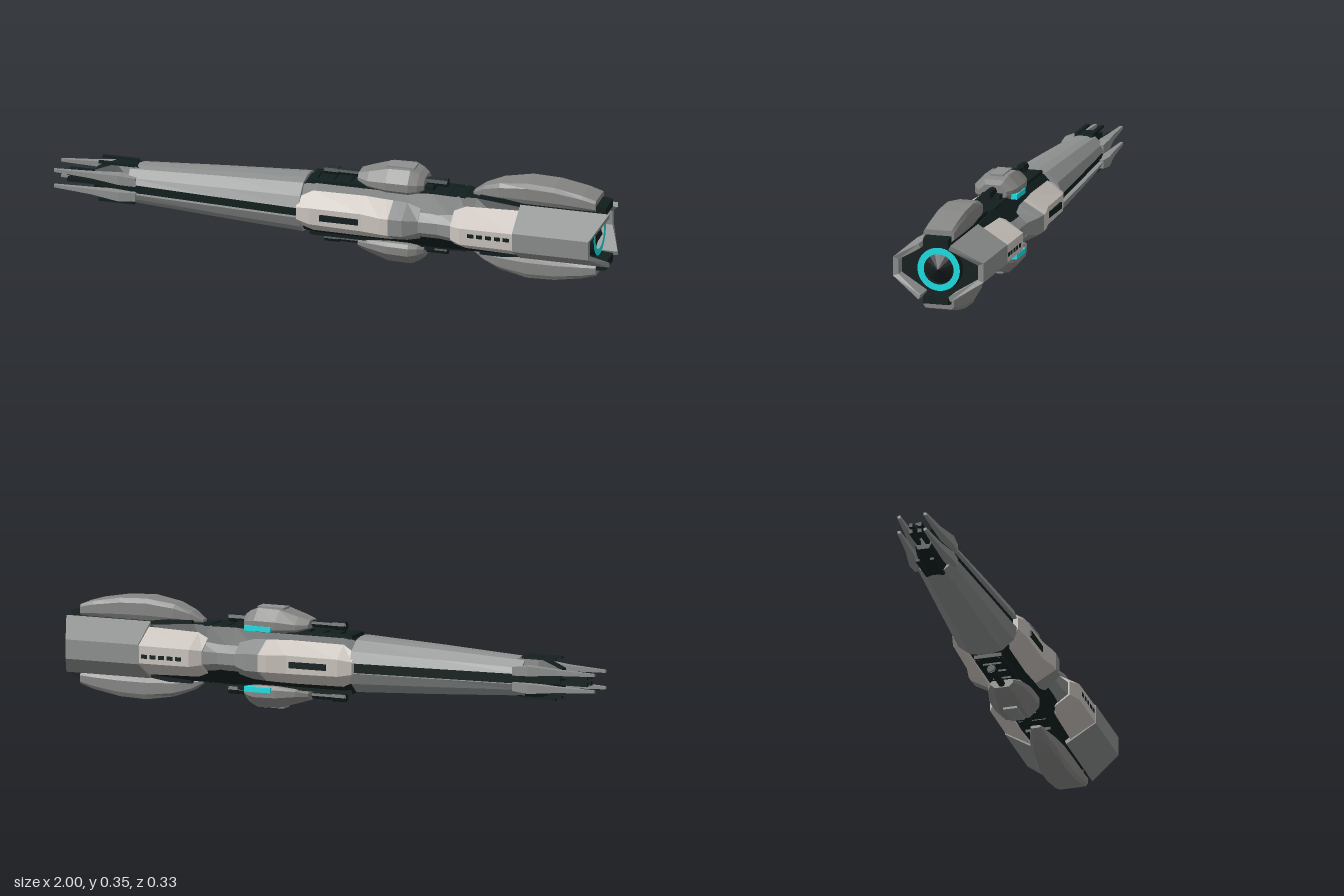
import * as THREE from 'three';

const mat = (name, color) => {
  const m = new THREE.MeshStandardMaterial({ color, flatShading: true });
  m.name = name;
  return m;
};

// Skins a closed outline [z, y, xOffset] through stations { x, pts } along x, with end caps.
function loft(stations) {
  const pos = [];
  const rings = stations.map(({ x, pts }) => {
    const r = pts.map(([z, y, dx = 0]) => new THREE.Vector3(x + dx, y, z));
    const area = THREE.ShapeUtils.area(r.map(p => new THREE.Vector2(p.y, p.z)));
    return area < 0 ? r.reverse() : r;
  });
  const tri = (...ps) => ps.forEach(p => pos.push(p.x, p.y, p.z));
  for (let i = 0; i < rings.length - 1; i++) {
    const A = rings[i], B = rings[i + 1], n = A.length;
    for (let j = 0; j < n; j++) {
      const k = (j + 1) % n;
      tri(A[j], A[k], B[k]);
      tri(A[j], B[k], B[j]);
    }
  }
  const cap = (r, flip) => {
    const flat = r.map(p => new THREE.Vector2(p.y, p.z));
    for (const [a, b, c] of THREE.ShapeUtils.triangulateShape(flat, [])) {
      if (flip) tri(r[a], r[c], r[b]); else tri(r[a], r[b], r[c]);
    }
  };
  cap(rings[0], true);
  cap(rings[rings.length - 1], false);
  const g = new THREE.BufferGeometry();
  g.setAttribute('position', new THREE.Float32BufferAttribute(pos, 3));
  g.computeVertexNormals();
  return g;
}

// Outline: eight-sided hull, half width w, half height h, flat roof half width f
const hullRing = (w, h, f, s) =>
  [[w, s], [f, h], [-f, h], [-w, s], [-w, -s], [-f, -h], [f, -h], [w, -s]];
// Outline: V-shaped side armour, outer flank at z = w, wrapping in to (e, h)
const sideRing = (w, s, e, h, t = 0.02, cut = 0) => [
  [e, h], [w, s, cut], [w, -s, cut], [e, -h],
  [e - 0.006, -h + t * 0.8], [w - t, -s + t * 0.4, cut], [w - t, s - t * 0.4, cut], [e - 0.006, h - t * 0.8]];
// Outline: bevelled block between y0 and y1
const blockRing = (w, y0, y1, f, shoulder) => {
  const ys = y0 + (y1 - y0) * shoulder, yl = y0 + (ys - y0) * 0.3;
  return [[w * 0.85, y0], [w, yl], [w, ys], [f, y1], [-f, y1], [-w, ys], [-w, yl], [-w * 0.85, y0]];
};
// Outline: arched bow roof
const roofRing = (w, h) => [
  [w, 0.018], [w * 0.86, h * 0.58], [w * 0.5, h * 0.93], [w * 0.2, h],
  [-w * 0.2, h], [-w * 0.5, h * 0.93], [-w * 0.86, h * 0.58], [-w, 0.018]];
const boxRing = (z0, z1, y0, y1) => [[z0, y0], [z1, y0], [z1, y1], [z0, y1]];

export function createModel() {
  const grey = mat('armour grey', 0x8d908f);
  const warm = mat('fairing grey', 0x868785);
  const light = mat('pale panel', 0xcbc4be);
  const dark = mat('dark hull', 0x121f1e);
  const teal = mat('engine glow', 0x18e6ea);
  const black = mat('nozzle interior', 0x161c1e);

  const model = new THREE.Group();
  const ship = new THREE.Group();
  ship.name = 'ship';
  ship.position.y = 0.178;
  model.add(ship);

  const add = (parent, name, geo, m, x = 0, y = 0, z = 0) => {
    const mesh = new THREE.Mesh(geo, m);
    mesh.name = name;
    mesh.position.set(x, y, z);
    parent.add(mesh);
  };
  const box = (p, name, m, w, h, d, x, y, z) => add(p, name, new THREE.BoxGeometry(w, h, d), m, x, y, z);
  const rod = (p, name, m, r, len, x, y, z) =>
    add(p, name, new THREE.CylinderGeometry(r, r, len, 8).rotateZ(Math.PI / 2), m, x, y, z);

  // Dark inner hull, kept clear of the armour plates
  add(ship, 'innerHull', loft([
    [-0.86, 0.03, 0.036, 0.02, 0.015], [-0.78, 0.048, 0.07, 0.025, 0.02],
    [-0.72, 0.062, 0.07, 0.03, 0.02], [-0.68, 0.062, 0.06, 0.03, 0.02], [-0.1, 0.1, 0.085, 0.05, 0.03],
    [-0.05, 0.104, 0.096, 0.046, 0.03], [0.24, 0.106, 0.096, 0.046, 0.03], [0.36, 0.104, 0.1, 0.05, 0.035],
    [0.46, 0.112, 0.1, 0.048, 0.028], [0.52, 0.122, 0.1, 0.044, 0.026],
    [0.68, 0.14, 0.088, 0.052, 0.026], [0.92, 0.143, 0.088, 0.052, 0.026],
  ].map(([x, w, h, f, s]) => ({ x, pts: hullRing(w, h, f, s) }))), dark);

  // Engine: nozzle, glowing ring and recessed cone
  add(ship, 'nozzle', new THREE.CylinderGeometry(0.077, 0.08, 0.05, 32, 1, true).rotateZ(-Math.PI / 2), dark, 0.925);
  add(ship, 'engineRing', new THREE.RingGeometry(0.054, 0.077, 40).rotateY(Math.PI / 2), teal, 0.95);
  add(ship, 'engineCore', new THREE.ConeGeometry(0.054, 0.03, 16).rotateZ(-Math.PI / 2), black, 0.945);

  // Everything below repeats under a half turn about the long axis
  for (const turn of [0, Math.PI]) {
    const half = new THREE.Group();
    half.name = turn ? 'lowerHalf' : 'upperHalf';
    half.rotation.x = turn;
    ship.add(half);

    // Bow armour roof
    add(half, 'bowArmour', loft([
      { x: -0.73, pts: roofRing(0.074, 0.066) },
      { x: -0.4, pts: roofRing(0.097, 0.084) },
      { x: -0.1, pts: roofRing(0.116, 0.098) },
    ]), grey);

    // Nose prongs and rails
    for (const s of [-1, 1]) {
      add(half, 'noseProng', loft([
        { x: -1, pts: boxRing(s * 0.042, s * 0.052, 0.024, 0.034) },
        { x: -0.86, pts: boxRing(s * 0.042, s * 0.064, 0.02, 0.04) },
        { x: -0.76, pts: boxRing(s * 0.045, s * 0.08, 0.014, 0.048) },
        { x: -0.7, pts: boxRing(s * 0.05, s * 0.077, 0.012, 0.042) },
      ]), grey);
      box(half, 'noseSpike', dark, 0.2, 0.014, 0.014, -0.86, 0.012, s * 0.016);
      box(half, 'noseRail', dark, 0.13, 0.008, 0.014, -0.78, 0.07, s * 0.026);
      box(half, 'spineRail', dark, 0.52, 0.012, 0.016, 0.19, 0.098, s * 0.042);
    }

    // Spine ribs and mounts
    for (let i = 0; i < 10; i++) {
      box(half, 'spineRib', dark, 0.022, 0.014, i % 3 ? 0.07 : 0.1, -0.07 + i * 0.06, 0.096, 0);
    }
    box(half, 'mountBase', dark, 0.24, 0.025, 0.07, 0.24, 0.108, 0);
    box(half, 'fairingBase', dark, 0.4, 0.03, 0.09, 0.73, 0.095, 0);

    // Rear fairing with dark tail
    add(half, 'rearFairing', loft([
      [0.5, 0.018, 0.102, 0.112, 0.012], [0.54, 0.032, 0.1, 0.14, 0.02], [0.6, 0.046, 0.1, 0.162, 0.034],
      [0.7, 0.054, 0.1, 0.177, 0.046], [0.8, 0.056, 0.1, 0.173, 0.048], [0.9, 0.056, 0.1, 0.155, 0.048],
      [0.95, 0.055, 0.1, 0.14, 0.047],
    ].map(([x, w, y0, y1, f]) => ({ x, pts: blockRing(w, y0, y1, f, 0.78) }))), warm);
    add(half, 'fairingTail', loft([
      { x: 0.92, pts: boxRing(-0.048, 0.048, 0.084, 0.126) },
      { x: 0.985, pts: boxRing(-0.045, 0.045, 0.088, 0.116) },
    ]), dark);

    // Gun pod with barrel, tail and glow strip
    add(half, 'gunPod', loft([
      [0.09, 0.04, 0.112, 0.14, 0.025], [0.13, 0.062, 0.1, 0.152, 0.035], [0.2, 0.078, 0.094, 0.172, 0.042],
      [0.28, 0.08, 0.094, 0.174, 0.042], [0.31, 0.068, 0.098, 0.162, 0.036], [0.33, 0.05, 0.106, 0.148, 0.028],
    ].map(([x, w, y0, y1, f]) => ({ x, pts: blockRing(w, y0, y1, f, 0.5) }))), warm);
    box(half, 'podRidge', grey, 0.1, 0.008, 0.05, 0.24, 0.173, 0);
    rod(half, 'gunBarrel', dark, 0.012, 0.16, 0.04, 0.126, 0);
    rod(half, 'gunMuzzle', dark, 0.016, 0.05, -0.012, 0.126, 0);
    rod(half, 'podTail', dark, 0.016, 0.09, 0.36, 0.126, 0);
    box(half, 'podLight', teal, 0.1, 0.018, 0.022, 0.265, 0.107, turn ? 0.072 : -0.072);

    // Side armour: pale shoulder, grey cowl, link, pale panel, rear plate
    add(half, 'shoulderPanel', loft([
      { x: -0.11, pts: sideRing(0.118, 0.022, 0.09, 0.05) },
      { x: -0.06, pts: sideRing(0.132, 0.03, 0.075, 0.074) },
      { x: 0.13, pts: sideRing(0.138, 0.032, 0.075, 0.076) },
      { x: 0.2, pts: sideRing(0.153, 0.03, 0.08, 0.074) },
      { x: 0.23, pts: sideRing(0.155, 0.03, 0.08, 0.073) },
    ]), light);
    add(half, 'shoulderCowl', loft([
      { x: 0.23, pts: sideRing(0.155, 0.03, 0.08, 0.073) },
      { x: 0.28, pts: sideRing(0.152, 0.03, 0.08, 0.07) },
      { x: 0.33, pts: sideRing(0.125, 0.022, 0.085, 0.056) },
    ]), grey);
    add(half, 'sideLink', loft([
      { x: 0.31, pts: sideRing(0.124, 0.02, 0.096, 0.045) },
      { x: 0.4, pts: sideRing(0.122, 0.02, 0.096, 0.045) },
      { x: 0.48, pts: sideRing(0.138, 0.024, 0.096, 0.054) },
    ]), grey);
    add(half, 'sidePanel', loft([
      { x: 0.45, pts: sideRing(0.138, 0.025, 0.085, 0.062) },
      { x: 0.49, pts: sideRing(0.161, 0.03, 0.075, 0.078) },
      { x: 0.69, pts: sideRing(0.162, 0.031, 0.072, 0.084) },
    ]), light);
    add(half, 'rearPlate', loft([
      { x: 0.68, pts: sideRing(0.164, 0.034, 0.057, 0.1) },
      { x: 1, pts: sideRing(0.164, 0.034, 0.057, 0.1, 0.02, -0.045) },
    ]), grey);

    // Dark slots and windows on the flanks
    box(half, 'shoulderSlot', dark, 0.14, 0.022, 0.008, 0.05, 0, 0.136);
    for (let i = 0; i < 5; i++) {
      box(half, 'sideWindow', dark, 0.022, 0.014, 0.004, 0.53 + i * 0.032, 0.006, 0.1605);
    }
  }
  return model;
}
